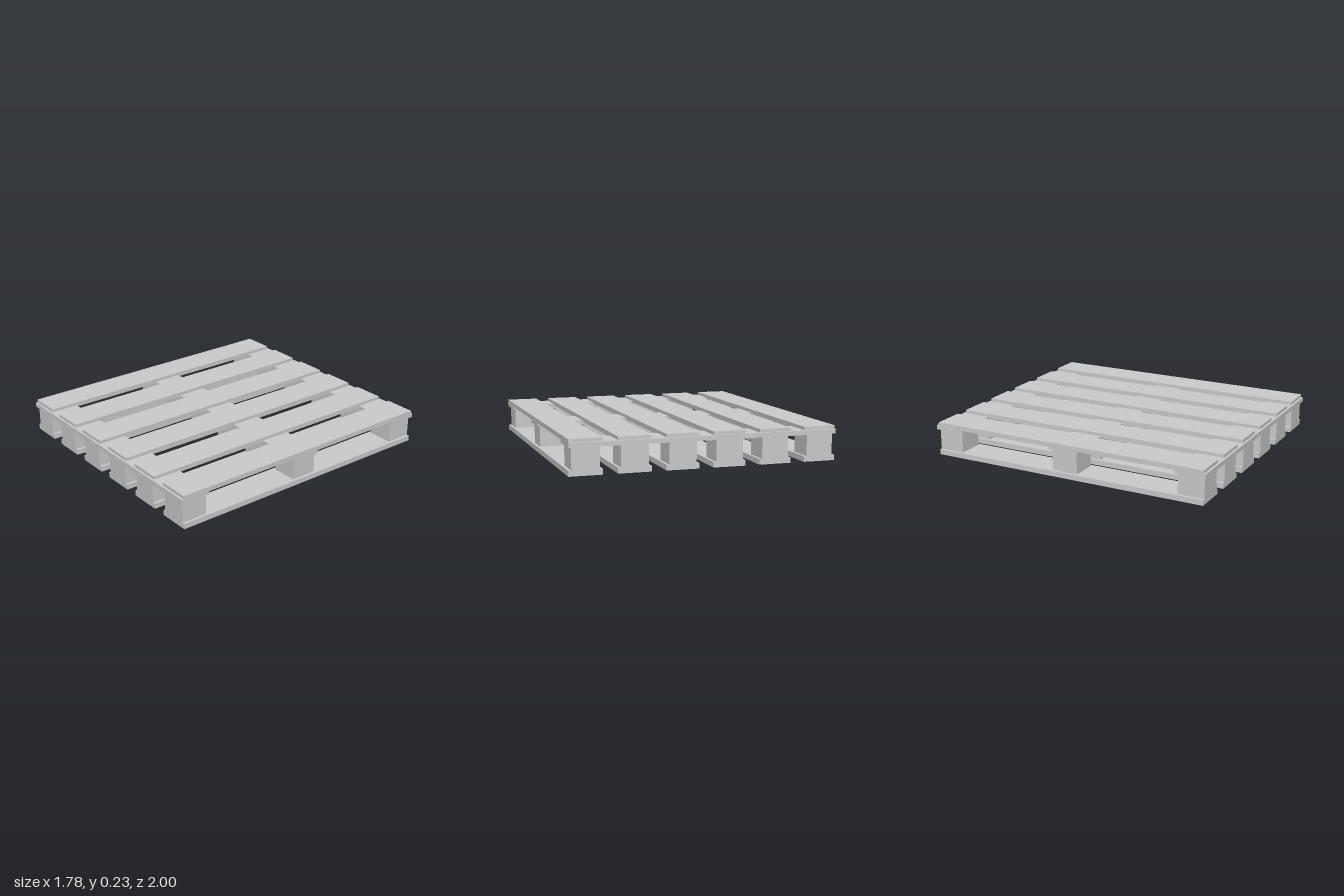
import * as THREE from 'three';

const material = new THREE.MeshStandardMaterial({ color: 0xcccccc, flatShading: true });

// Box spanning y0..y1, centred on x and z
function addBox(parent, name, width, depth, y0, y1, x, z) {
  const mesh = new THREE.Mesh(new THREE.BoxGeometry(width, y1 - y0, depth), material);
  mesh.name = name;
  mesh.position.set(x, (y0 + y1) / 2, z);
  parent.add(mesh);
}

export function createModel() {
  const pallet = new THREE.Group();
  pallet.name = 'pallet';

  const rows = [-0.895, 0, 0.895];
  const count = 6;
  const spacing = 0.3125;

  // Cross boards that tie the columns together
  for (const z of rows) addBox(pallet, 'crossBoard', 1.78, 0.21, 0.178, 0.208, 0, z);

  // Each column: a bottom slat, three blocks and a top slat
  for (let i = 0; i < count; i++) {
    const x = (i - (count - 1) / 2) * spacing;
    const column = new THREE.Group();
    column.name = 'column';
    addBox(column, 'bottomSlat', 0.217, 1.97, 0, 0.036, x, 0);
    for (const z of rows) addBox(column, 'block', 0.18, 0.18, 0.036, 0.178, x, z);
    addBox(column, 'topSlat', 0.217, 1.97, 0.198, 0.23, x, 0);
    pallet.add(column);
  }
  return pallet;
}
